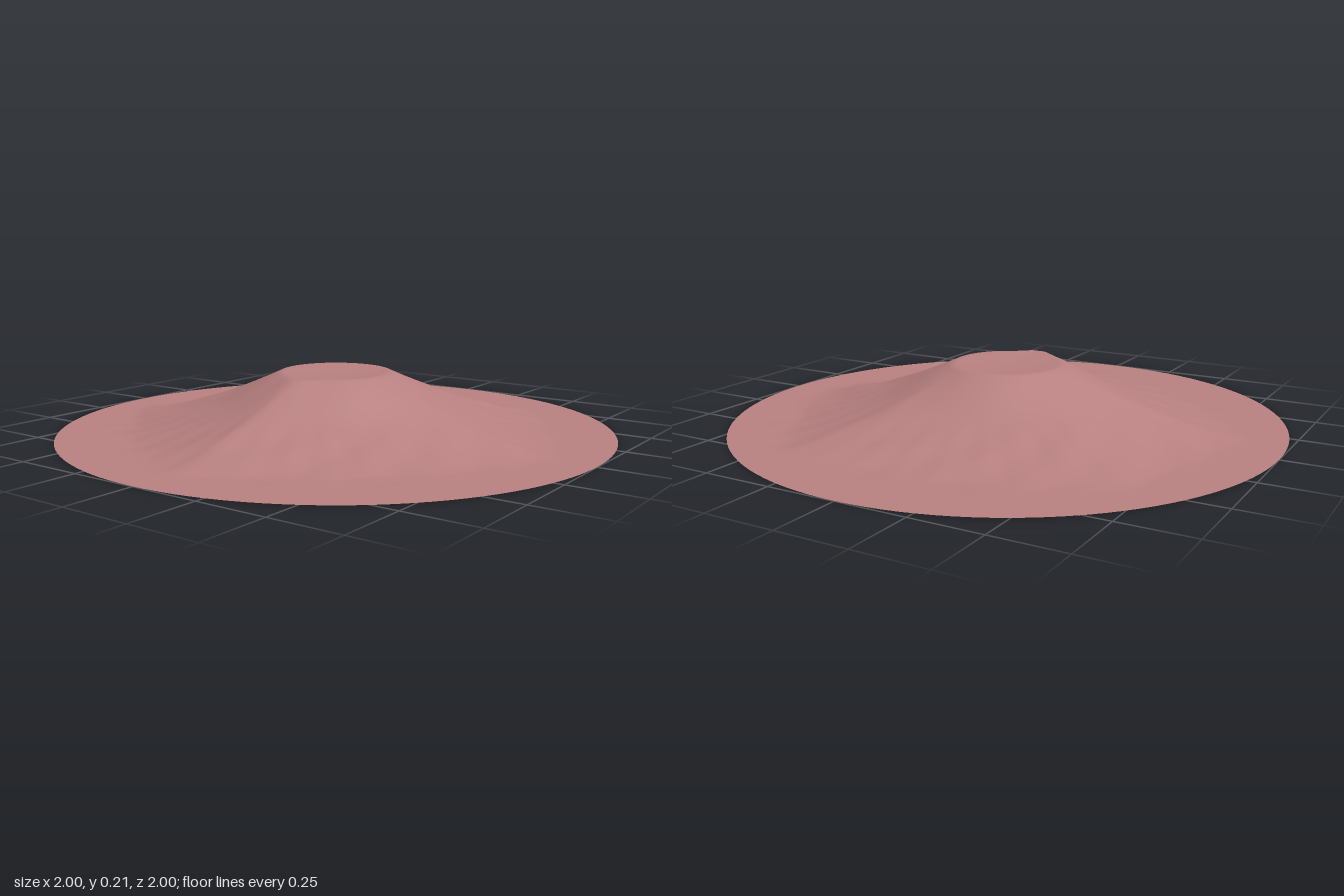
import * as THREE from 'three';
import { mergeVertices } from 'three/addons/utils/BufferGeometryUtils.js';

const V = (x, y, z) => new THREE.Vector3(x, y, z);

// Fold ridges of the cloth, degrees around y measured from +z towards +x
const RIDGES = [0, 90, 150, 235, 280, 360];

// 0 on a ridge, 1 in the middle of the hollow between two ridges
function hollow(deg) {
  const i = RIDGES.findIndex((a, k) => deg >= a && deg <= RIDGES[k + 1]);
  const t = (deg - RIDGES[i]) / (RIDGES[i + 1] - RIDGES[i]);
  return 4 * t * (1 - t) * Math.min(1, (RIDGES[i + 1] - RIDGES[i]) / 90);
}

// Height of the draped cloth at a point
function clothHeight(x, z) {
  const r = Math.hypot(x, z);
  const angle = Math.atan2(x, z);
  const deg = (THREE.MathUtils.radToDeg(angle) + 360) % 360;
  // the handle pushes the cloth out to a point at the front
  const rim = 0.2 + 0.04 * Math.exp(-Math.pow(angle / 0.3, 2));
  if (r <= rim) return 0.202 + 0.009 * Math.pow(r / rim, 2);
  const sag = 0.17 * hollow(deg) * THREE.MathUtils.smoothstep(r, 0.2, 0.45);
  const t = Math.min(1, (r * (1 + sag) - rim) / (0.88 - rim));
  const slope = 0.211 * Math.pow(1 - t, 1.45);
  // small wrinkles towards the hem
  const band = THREE.MathUtils.smoothstep(r, 0.35, 0.6) * (1 - THREE.MathUtils.smoothstep(r, 0.7, 0.95));
  const wrinkle = Math.sin(angle * 23 + r * 9) * Math.sin(angle * 9 - r * 14);
  return Math.max(0.001, slope + 0.004 * band * wrinkle);
}

function makeCloth(material) {
  const geo = new THREE.RingGeometry(0, 1, 120, 60).rotateX(-Math.PI / 2);
  geo.deleteAttribute('uv');
  geo.deleteAttribute('normal');
  const p = geo.attributes.position;
  for (let i = 0; i < p.count; i++) p.setY(i, clothHeight(p.getX(i), p.getZ(i)));
  const merged = mergeVertices(geo, 1e-5);
  merged.computeVertexNormals();
  const mesh = new THREE.Mesh(merged, material);
  mesh.name = 'drapedCloth';
  return mesh;
}

function makeCup(material) {
  const cup = new THREE.Group();
  cup.name = 'cup';

  // Bowl with flared foot, thin wall and hollow inside
  const profile = [
    [0, 0.015], [0.045, 0.012], [0.052, 0], [0.062, 0], [0.06, 0.008], [0.048, 0.025],
    [0.056, 0.036], [0.095, 0.054], [0.135, 0.085], [0.165, 0.122], [0.187, 0.165], [0.199, 0.203],
    [0.192, 0.203], [0.179, 0.165], [0.157, 0.125], [0.127, 0.09], [0.09, 0.06], [0.045, 0.043], [0, 0.04],
  ].map(([r, y]) => new THREE.Vector2(r, y));
  const bowl = new THREE.Mesh(new THREE.LatheGeometry(profile, 24), material);
  bowl.name = 'bowl';

  // Looped handle at the front
  const path = new THREE.CatmullRomCurve3([
    V(0, 0.165, 0.18), V(0, 0.183, 0.215), V(0, 0.178, 0.25), V(0, 0.145, 0.262),
    V(0, 0.108, 0.24), V(0, 0.083, 0.195), V(0, 0.075, 0.12),
  ]);
  const handle = new THREE.Mesh(new THREE.TubeGeometry(path, 16, 0.011, 6), material);
  handle.name = 'handle';

  cup.add(bowl, handle);
  return cup;
}

export function createModel() {
  const model = new THREE.Group();
  model.name = 'coveredCup';
  const china = new THREE.MeshStandardMaterial({ color: 0xcccccc, flatShading: true, side: THREE.DoubleSide });
  const fabric = new THREE.MeshStandardMaterial({ color: 0xb88080, side: THREE.DoubleSide });
  model.add(makeCup(china), makeCloth(fabric));
  return model;
}
